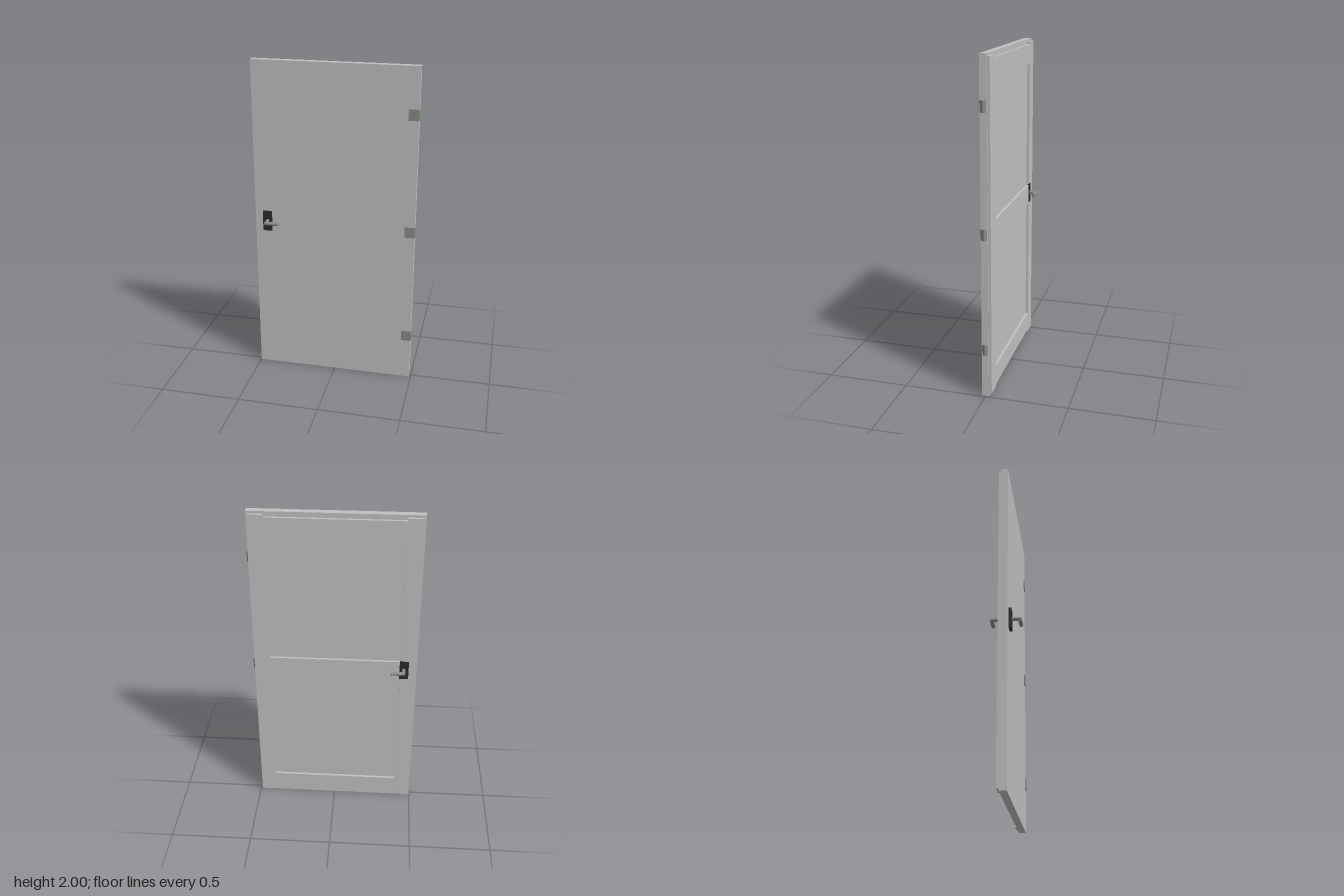
import * as THREE from 'three';

export function createModel() {
  const door = new THREE.Group();
  door.name = 'door';

  const makeMaterial = (name, color) => {
    const m = new THREE.MeshStandardMaterial({ color });
    m.name = name;
    return m;
  };
  const paint = makeMaterial('light grey paint', 0xc0c0c0);
  const metal = makeMaterial('grey green metal', 0x888d86);
  const black = makeMaterial('black plate', 0x2a2a2a);

  // Box given by its limits on each axis
  const box = (name, material, [x0, x1], [y0, y1], [z0, z1], parent = door) => {
    const mesh = new THREE.Mesh(new THREE.BoxGeometry(x1 - x0, y1 - y0, z1 - z0), material);
    mesh.position.set((x0 + x1) / 2, (y0 + y1) / 2, (z0 + z1) / 2);
    mesh.name = name;
    parent.add(mesh);
    return mesh;
  };

  // Flat door leaf
  box('doorLeaf', paint, [-0.5, 0.49], [0, 2], [-0.021, 0.02]);

  // Raised frame on the back; the rails stop short of the stile ends
  const depth = [-0.037, -0.021];
  box('rightStile', paint, [-0.493, -0.4], [0.015, 1.985], depth);
  box('leftStile', paint, [0.39, 0.483], [0.015, 1.985], depth);
  const rails = { bottomRail: [0.03, 0.15], middleRail: [0.94, 1.065], topRail: [1.855, 1.97] };
  for (const [name, span] of Object.entries(rails)) box(name, paint, [-0.4, 0.39], span, depth);

  // Hinges: a leaf on the front and a six-sided knuckle on the edge
  for (const y of [0.298, 1.003, 1.722]) {
    const hinge = new THREE.Group();
    hinge.name = 'hinge';
    const span = [y - 0.033, y + 0.033];
    box('hingeLeaf', metal, [0.43, 0.49], span, [0.018, 0.025], hinge);
    const geometry = new THREE.CylinderGeometry(0.02, 0.02, 0.066, 6).toNonIndexed();
    geometry.computeVertexNormals();
    geometry.rotateY(Math.PI / 2);
    const knuckle = new THREE.Mesh(geometry, metal);
    knuckle.position.set(0.48, y, 0);
    knuckle.name = 'hingeKnuckle';
    hinge.add(knuckle);
    door.add(hinge);
  }

  // Handle plates
  box('frontPlate', black, [-0.45, -0.395], [0.945, 1.07], [0.02, 0.035]);
  box('backPlate', black, [-0.45, -0.395], [0.945, 1.07], [-0.0375, -0.03]);

  // Lever handles, one on each side
  for (const side of [1, -1]) {
    const handle = new THREE.Group();
    handle.name = side > 0 ? 'frontHandle' : 'backHandle';
    const spindle = new THREE.Mesh(new THREE.CylinderGeometry(0.0105, 0.0105, 0.063, 24), metal);
    spindle.rotation.x = Math.PI / 2;
    spindle.position.set(-0.42, 1.01, side * 0.0515);
    spindle.name = 'spindle';
    const lever = new THREE.Mesh(new THREE.CylinderGeometry(0.0115, 0.0115, 0.08, 24), metal);
    lever.rotation.z = Math.PI / 2;
    lever.position.set(-0.38, 1.01, side * 0.081);
    lever.name = 'lever';
    handle.add(spindle, lever);
    door.add(handle);
  }

  return door;
}
